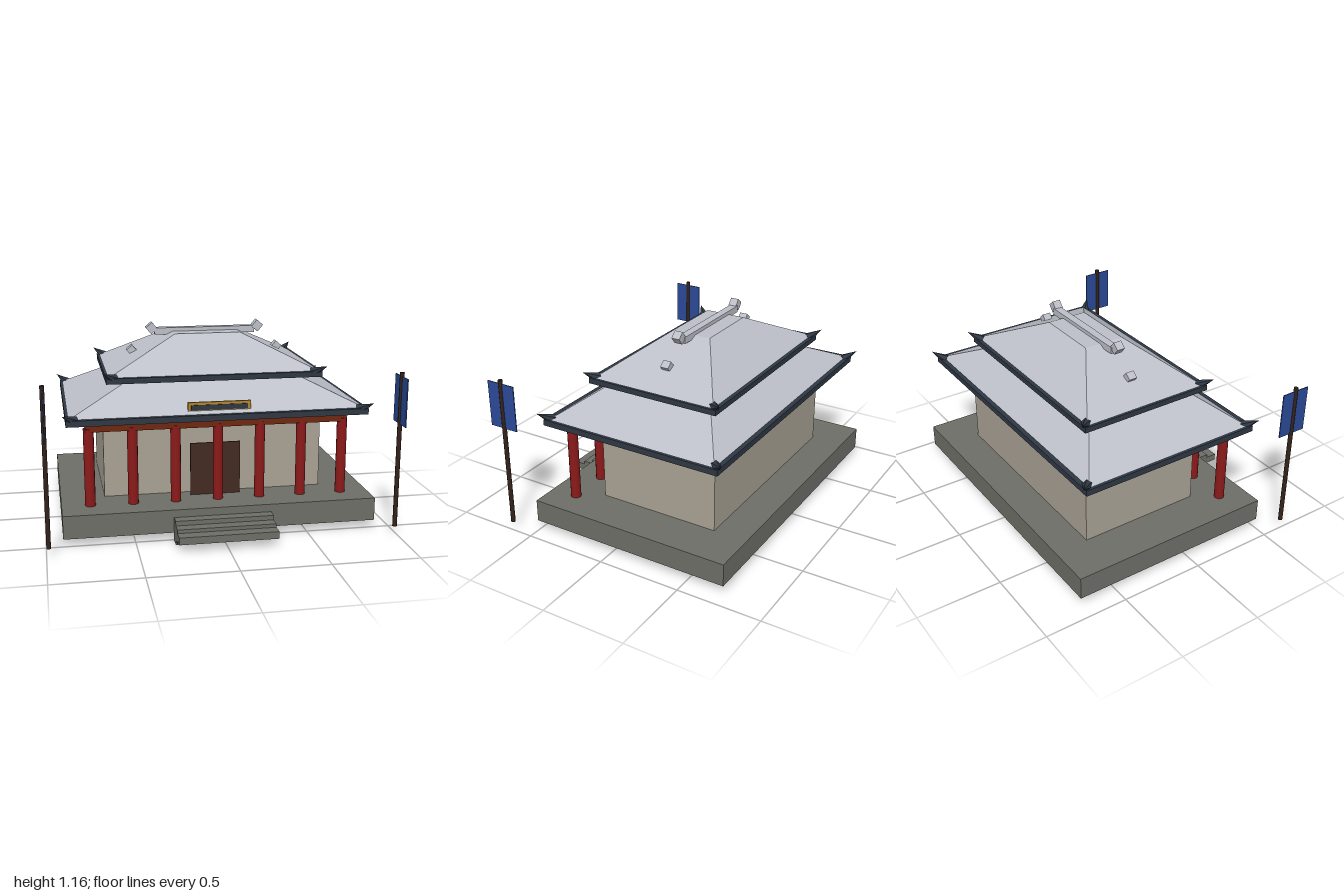
import * as THREE from 'three';

const mat = (name, color) => {
  const m = new THREE.MeshStandardMaterial({ color });
  m.name = name;
  return m;
};

export function createModel() {
  const stone = mat('grey stone', 0x6e6e68);
  const plaster = mat('pale plaster', 0xaaa395);
  const tile = mat('light roof tile', 0xbdc0c9);
  const slate = mat('dark eave slate', 0x2f3844);
  const red = mat('red lacquer', 0x8c1a1a);
  const rust = mat('rust beam', 0x6e2710);
  const darkWood = mat('dark door wood', 0x432b22);
  const gold = mat('gold', 0xb5862c);
  const blue = mat('blue cloth', 0x2a4a98);
  const poleWood = mat('pole wood', 0x33221a);

  const root = new THREE.Group();
  root.name = 'pavilion';

  const add = (name, geo, material, x = 0, y = 0, z = 0, parent = root) => {
    const m = new THREE.Mesh(geo, material);
    m.name = name;
    m.position.set(x, y, z);
    parent.add(m);
    return m;
  };
  // Box given by its lower and upper limits
  const block = (name, material, x0, x1, y0, y1, z0, z1, parent = root) =>
    add(name, new THREE.BoxGeometry(x1 - x0, y1 - y0, z1 - z0), material,
      (x0 + x1) / 2, (y0 + y1) / 2, (z0 + z1) / 2, parent);

  // Platform and front steps
  block('platform', stone, -0.905, 0.905, 0.05, 0.185, -0.727, 0.517);
  [[0, 0.14, 0.513, 0.58], [0.026, 0.113, 0.58, 0.645], [0.05, 0.092, 0.645, 0.713]].forEach(
    ([y0, y1, z0, z1], i) => block('step' + (i + 1), stone, -0.282, 0.282, y0, y1, z0, z1));

  // Hall and door
  block('hallWalls', plaster, -0.65, 0.65, 0.185, 0.64, -0.525, 0.21);
  block('door', darkWood, -0.148, 0.148, 0.185, 0.5, 0.262, 0.272);

  // Front colonnade
  const columnGeo = new THREE.CylinderGeometry(0.03, 0.03, 0.455, 12);
  for (let i = -3; i <= 3; i++) add('column', columnGeo, red, i * 0.247, 0.4125, 0.354);
  block('columnBeam', rust, -0.76, 0.76, 0.622, 0.68, 0.327, 0.38);

  // Hipped roof: dark eave slab, sloping tile body and upturned corner horns
  const hipRoof = (name, eave, foot, top, y0, y1, y2) => {
    const roof = new THREE.Group();
    roof.name = name;
    roof.position.z = -0.105;
    root.add(roof);
    block('eaves', slate, -eave[0], eave[0], y0, y1, -eave[1], eave[1], roof);

    const geo = new THREE.BoxGeometry(2, 1, 2);
    const p = geo.attributes.position;
    for (let i = 0; i < p.count; i++) {
      const upper = p.getY(i) > 0;
      const size = upper ? top : foot;
      p.setXYZ(i, p.getX(i) * size[0], upper ? y2 : y1, p.getZ(i) * size[1]);
    }
    geo.computeVertexNormals();
    add('tileSlopes', geo, tile, 0, 0, 0, roof);

    const hornGeo = new THREE.ConeGeometry(0.032, 0.105, 6).toNonIndexed();
    hornGeo.computeVertexNormals();
    for (const sx of [-1, 1]) for (const sz of [-1, 1]) {
      const dir = new THREE.Vector3(sx * 0.066, 0.044, sz * 0.064).normalize();
      const horn = add('cornerHorn', hornGeo, slate,
        sx * (eave[0] - 0.015), y1 + 0.012, sz * (eave[1] - 0.005), roof);
      horn.quaternion.setFromUnitVectors(new THREE.Vector3(0, 1, 0), dir);
    }
  };
  hipRoof('lowerRoof', [0.868, 0.557], [0.85, 0.53], [0.44, 0.263], 0.675, 0.71, 0.9);
  hipRoof('upperRoof', [0.63, 0.408], [0.613, 0.385], [0.197, 0.122], 0.875, 0.907, 1.106);

  // Ridge beam with tilted end blocks and lower hip blocks
  block('ridge', tile, -0.305, 0.305, 1.088, 1.128, -0.13, -0.083);
  for (const s of [-1, 1]) {
    add('ridgeEnd', new THREE.BoxGeometry(0.05, 0.052, 0.05), tile,
      s * 0.324, 1.128, -0.1).rotation.z = -s * 0.7;
    add('hipBlock', new THREE.BoxGeometry(0.045, 0.045, 0.05), tile,
      s * 0.446, 0.999, -0.1).rotation.z = -s * 0.7;
  }

  // Plaque over the entrance
  block('plaqueFrame', gold, -0.181, 0.181, 0.72, 0.775, 0.385, 0.402);
  block('plaquePanel', slate, -0.163, 0.163, 0.731, 0.76, 0.4, 0.406);

  // Banners on poles at both front corners
  for (const s of [-1, 1]) {
    const banner = new THREE.Group();
    banner.name = s > 0 ? 'leftBanner' : 'rightBanner';
    banner.position.set(s * 0.987, 0, 0.635);
    root.add(banner);
    add('pole', new THREE.CylinderGeometry(0.013, 0.013, 0.905, 10), poleWood, 0, 0.5025, 0, banner);
    block('flag', blue, -0.003, 0.003, 0.66, 0.933, -0.09, 0.09, banner);
  }

  return root;
}
